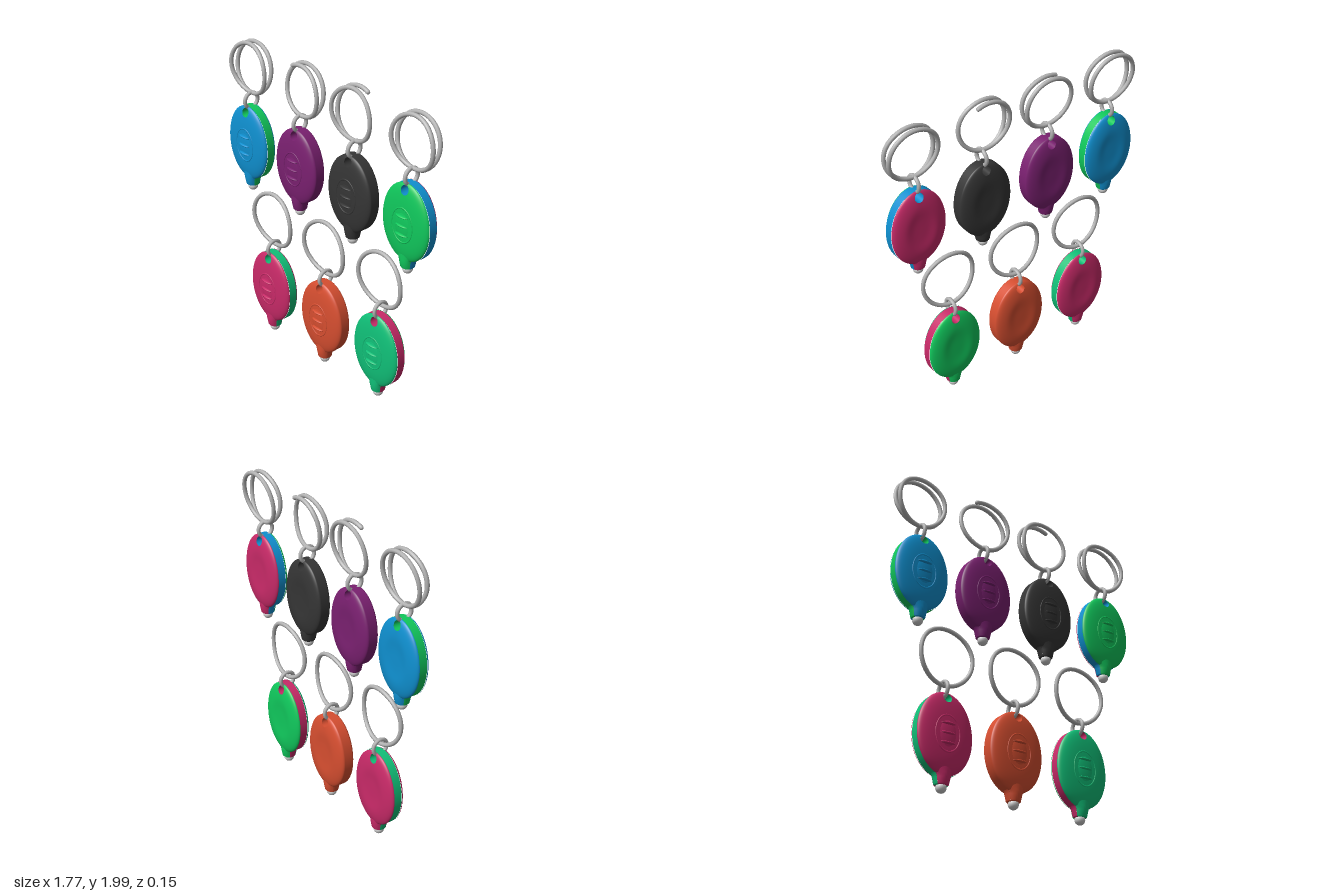
import * as THREE from 'three';

const mat = (name, color) => Object.assign(new THREE.MeshStandardMaterial({ color }), { name });
const M = {
  blue: mat('blue plastic', 0x0f90d0), purple: mat('purple plastic', 0x7a2070),
  black: mat('black plastic', 0x353535), green: mat('green plastic', 0x10c85c),
  pink: mat('pink plastic', 0xc82a68), orange: mat('orange plastic', 0xd64e30),
  teal: mat('teal plastic', 0x10c078), metal: mat('steel', 0xb4b4b4), bulb: mat('bulb', 0xd2d2d2),
};

function add(group, name, geo, material, x = 0, y = 0, z = 0) {
  const mesh = new THREE.Mesh(geo, material);
  mesh.name = name;
  mesh.position.set(x, y, z);
  group.add(mesh);
  return mesh;
}

// Closed band of quads: fn(angle, k) gives a point, k runs 0..1
function band(n, m, fn, flip = false) {
  const pos = [], idx = [];
  for (let j = 0; j <= m; j++)
    for (let i = 0; i < n; i++) pos.push(...fn((i / n) * Math.PI * 2, j / m));
  for (let j = 0; j < m; j++)
    for (let i = 0; i < n; i++) {
      const i2 = (i + 1) % n;
      const a = j * n + i, b = a + n, c = (j + 1) * n + i2, d = j * n + i2;
      if (flip) idx.push(a, c, b, a, d, c);
      else idx.push(a, b, c, a, c, d);
    }
  const g = new THREE.BufferGeometry();
  g.setAttribute('position', new THREE.Float32BufferAttribute(pos, 3));
  g.setIndex(idx);
  g.computeVertexNormals();
  return g;
}

// Egg outline, lens thickness and key hole
const W = 0.182, TOP = 0.255, LOW = 0.24, HOLE_Y = 0.218, HOLE_R = 0.029;
const RIM_F = 0.024, RIM_B = -0.03;
const outline = (t) => [W * Math.cos(t), (Math.sin(t) > 0 ? TOP : LOW) * Math.sin(t)];
const dome = (x, y) => {
  const e = Math.min(1, Math.hypot(x / W, y / (y > 0 ? TOP : LOW)));
  return Math.sqrt(1 - e ** 3);
};
const frontZ = (x, y) => RIM_F + 0.037 * dome(x, y);
const backZ = (x, y) =>
  RIM_B - 0.037 * dome(x, y) + 0.009 * Math.exp(-(((x / 0.085) ** 2 + (y / 0.12) ** 2) ** 2));
// Runs from the hole edge out to the outline, packed closer at the rim
const sheet = (t, k) => {
  const [qx, qy] = outline(t);
  const len = Math.hypot(qx, qy - HOLE_Y);
  const s = 1 - (1 - k) ** 2;
  const hx = (qx / len) * HOLE_R, hy = HOLE_Y + ((qy - HOLE_Y) / len) * HOLE_R;
  return [hx + (qx - hx) * s, hy + (qy - hy) * s];
};

const frontGeo = band(72, 28, (t, k) => { const [x, y] = sheet(t, k); return [x, y, frontZ(x, y)]; });
const backGeo = band(72, 28, (t, k) => { const [x, y] = sheet(t, k); return [x, y, backZ(x, y)]; }, true);
const rimGeo = band(72, 2, (t, k) => [...outline(t), RIM_F + (RIM_B - RIM_F) * k]);
const holeGeo = band(72, 1, (t, k) => {
  const [x, y] = sheet(t, 0);
  return [x, y, backZ(x, y) * (1 - k) + frontZ(x, y) * k];
});

// Flared snout, flattened where it runs into the lens
function snout(start, length) {
  const pts = [[0, -0.29], [0.038, -0.29], [0.043, -0.285], [0.05, -0.25], [0.06, -0.225], [0.09, -0.195], [0.1, -0.17]];
  const g = new THREE.LatheGeometry(pts.map((p) => new THREE.Vector2(...p)), 12, start, length);
  const p = g.attributes.position;
  for (let i = 0; i < p.count; i++) {
    const r = Math.hypot(p.getX(i), p.getZ(i));
    if (r > 0.05) p.setZ(i, (p.getZ(i) * 0.05) / r);
  }
  g.computeVertexNormals();
  return g;
}

function makeBody(front, mid, back) {
  const g = new THREE.Group();
  g.name = 'flashlight';
  add(g, 'frontShell', frontGeo, front);
  add(g, 'backShell', backGeo, back);
  add(g, 'middleRim', rimGeo, mid, mid === front ? 0 : 0.003);
  add(g, 'keyHole', holeGeo, mid);
  for (const [start, len, m] of [[-1.05, 2.1, front], [1.05, 1, mid], [2.05, 2.18, back], [4.23, 1, mid]])
    add(g, 'snout', snout(start, len), m);
  add(g, 'bulb', new THREE.SphereGeometry(0.032, 20, 14), M.bulb, 0, -0.302);
  // Push button with raised border and three grip ridges
  add(g, 'buttonBorder', new THREE.TorusGeometry(0.08, 0.005, 8, 40), front, 0, 0, 0.057).scale.y = 1.36;
  add(g, 'button', new THREE.SphereGeometry(1, 28, 14), front, 0, 0, 0.055).scale.set(0.062, 0.09, 0.011);
  for (const y of [-0.058, 0, 0.058])
    add(g, 'gripRidge', new THREE.SphereGeometry(1, 16, 10), front, 0, y, 0.06).scale.set(0.048, 0.008, 0.019);
  return g;
}

// Split ring wire: u < 0 is the rear turn, u > 0 the front turn, joined at the bottom
class Coil extends THREE.Curve {
  constructor(r, u0, u1) {
    super();
    Object.assign(this, { r, u0, u1 });
  }
  getPoint(t, out = new THREE.Vector3()) {
    const u = this.u0 + (this.u1 - this.u0) * t;
    const a = (u - 0.25) * Math.PI * 2;
    const h = (1 + Math.sin(a)) / 2;
    const z = u > 0 ? -0.01 + 0.005 * h + 0.09 * h * (1 - h) : -0.01 - 0.06 * h + 0.013 * h * h;
    return out.set(this.r * Math.cos(a), this.r * Math.sin(a), z);
  }
}

function makeRing(r, u0, u1) {
  const g = new THREE.Group();
  g.name = 'splitRing';
  const coil = new Coil(r, u0, u1);
  add(g, 'ringWire', new THREE.TubeGeometry(coil, Math.round(64 * (u1 - u0)), 0.0135, 8), M.metal);
  for (const t of [0, 1])
    add(g, 'wireEnd', new THREE.SphereGeometry(0.0135, 8, 6), M.metal, ...coil.getPoint(t).toArray());
  return g;
}

export function createModel() {
  const model = new THREE.Group();
  model.name = 'keychainLights';
  // x, ring x, upper row?, front, middle, back, wire start and end
  const items = [
    [-0.703, -0.705, true, M.blue, M.green, M.blue, -1, 1],
    [-0.243, -0.23, true, M.purple, M.purple, M.purple, -1, 0.57],
    [0.233, 0.217, true, M.black, M.black, M.black, -0.57, 1],
    [0.695, 0.708, true, M.green, M.blue, M.pink, -1, 1],
    [-0.513, -0.503, false, M.pink, M.teal, M.pink, 0, 1],
    [-0.014, -0.014, false, M.orange, M.orange, M.orange, 0, 1],
    [0.478, 0.48, false, M.teal, M.pink, M.green, 0, 1],
  ];
  for (const [x, ringX, upper, front, mid, back, u0, u1] of items) {
    const keychain = new THREE.Group();
    keychain.name = 'keychain';
    const body = makeBody(front, mid, back);
    body.position.set(x, upper ? 1.325 : 0.346, 0);
    body.scale.setScalar(upper ? 1 : 1.02);
    const ring = makeRing(upper ? 0.161 : 0.179, u0, u1);
    ring.position.set(ringX, upper ? 1.824 : 0.845, 0);
    keychain.add(body, ring);
    // Small link through the key hole
    const link = add(keychain, 'link', new THREE.TorusGeometry(0.05, 0.0125, 8, 28), M.metal, x, upper ? 1.614 : 0.634, -0.004);
    link.rotation.y = Math.PI / 2;
    model.add(keychain);
  }
  return model;
}
